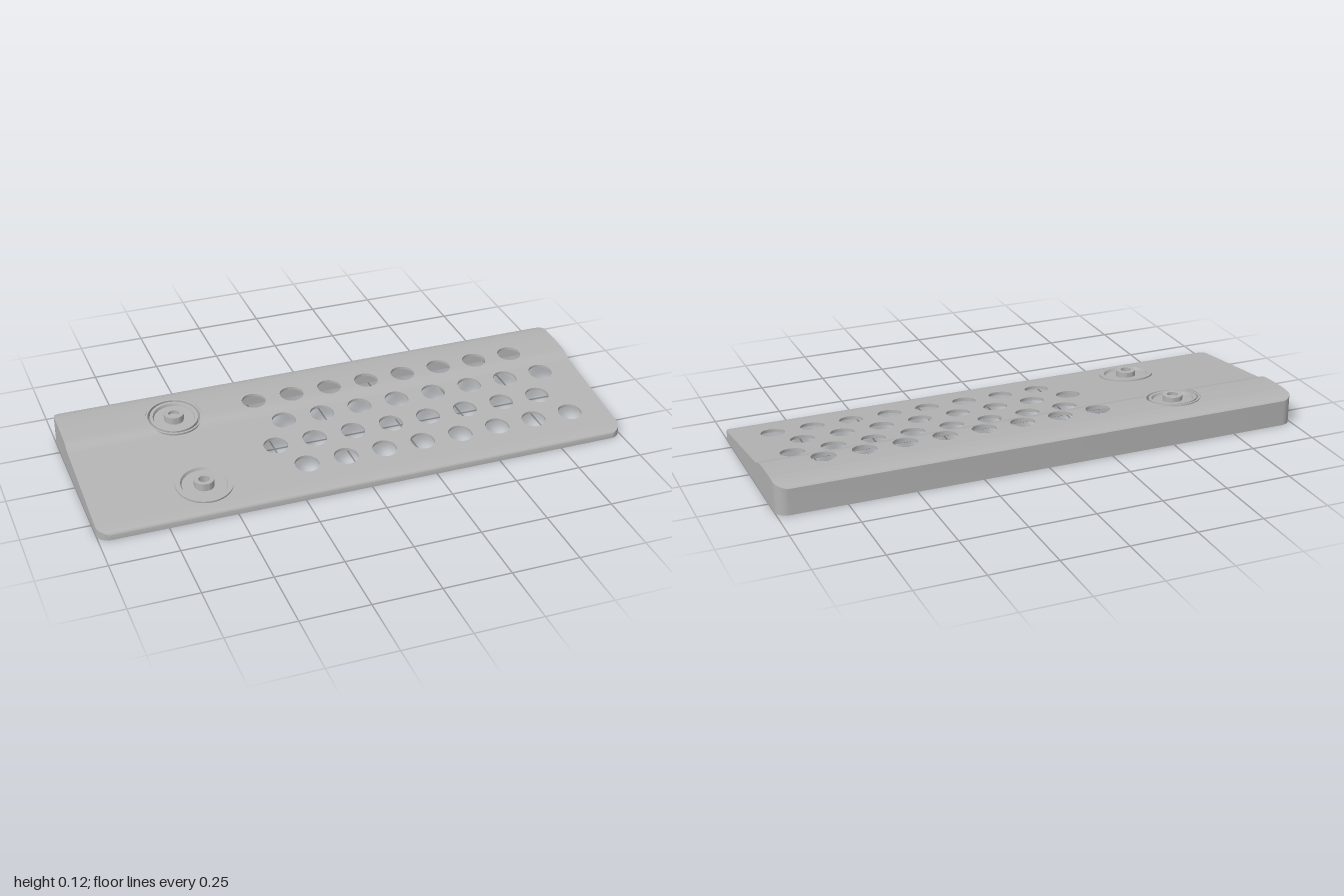
import * as THREE from 'three';
import { toCreasedNormals } from 'three/addons/utils/BufferGeometryUtils.js';

// side profile of the top surface: [z, y]
const PROFILE = [
  [-0.359, 0.098], [-0.355, 0.102], [-0.345, 0.107], [-0.33, 0.111], [-0.31, 0.1135], [-0.28, 0.115],
  [-0.24, 0.1145], [-0.2, 0.1125], [-0.16, 0.1095], [-0.14, 0.107], [-0.125, 0.102], [-0.115, 0.096],
  [-0.105, 0.092], [-0.095, 0.0895], [0.315, 0.037], [0.335, 0.0335], [0.348, 0.0295], [0.355, 0.025], [0.359, 0.019],
];
const SKIN = 0.02, WALL = 0.02, TILT = 0.127, DIAL_X = -0.58;
const ROWS = [-0.183, -0.053, 0.078, 0.208];

function top(z) {
  const c = Math.min(0.359, Math.max(-0.359, z));
  let i = 1;
  while (i < PROFILE.length - 1 && PROFILE[i][0] < c) i++;
  const [z0, y0] = PROFILE[i - 1], [z1, y1] = PROFILE[i];
  return y0 + (y1 - y0) * (c - z0) / (z1 - z0);
}
const underside = z => top(z) - SKIN;
const boreRoof = z => top(z) - 0.01;
const floor = () => 0;

// plan regions, each giving its x range at a given z
function circle(x, z, r) {
  const half = v => Math.sqrt(Math.max(0, r * r - (v - z) ** 2));
  return { z0: z - r, z1: z + r, x, span: v => [x - half(v), x + half(v)] };
}
function roundedRect(w, d, r) {
  const half = v => {
    const e = Math.min(r, Math.max(0, Math.abs(v) - (d - r)));
    return w - r + Math.sqrt(Math.max(0, r * r - e * e));
  };
  return { z0: -d, z1: d, x: 0, span: v => [-half(v), half(v)] };
}

// button holes, each with a wider counterbore beneath
const outer = roundedRect(1, 0.359, 0.045);
const inner = roundedRect(1 - WALL, 0.359 - WALL, 0.03);
const buttons = [];
ROWS.forEach((z, row) => {
  for (let i = 0; i < 8; i++) {
    const x = -0.27 + 0.15 * i + (row % 2 ? 0.075 : 0);
    buttons.push({ hole: circle(x, z, 0.045), bore: circle(x, z, 0.066) });
  }
});
const dialHoles = [circle(DIAL_X, ROWS[0], 0.104), circle(DIAL_X, ROWS[3], 0.1)];

// z cuts shared by every surface
const cuts = (() => {
  const all = PROFILE.map(p => p[0]);
  const arc = (c, r, n) => { for (let i = 0; i <= n; i++) all.push(c + r * Math.cos(Math.PI * i / n)); };
  ROWS.forEach(z => { arc(z, 0.045, 12); arc(z, 0.066, 12); });
  arc(ROWS[0], 0.104, 20);
  arc(ROWS[3], 0.1, 20);
  for (const s of [-1, 1]) {
    arc(s * 0.314, 0.045, 16);
    arc(s * 0.309, 0.03, 16);
  }
  all.sort((a, b) => a - b);
  return all.filter((z, i) => i === 0 || z - all[i - 1] > 1e-5);
})();

function strips(region, fn) {
  const zs = cuts.filter(z => z > region.z0 - 1e-4 && z < region.z1 + 1e-4);
  for (let i = 1; i < zs.length; i++) fn(zs[i - 1], zs[i]);
}

function createBuilder() {
  const pos = [];
  const va = new THREE.Vector3(), vb = new THREE.Vector3();
  function tri(a, b, c) {
    va.set(b[0] - a[0], b[1] - a[1], b[2] - a[2]);
    vb.set(c[0] - a[0], c[1] - a[1], c[2] - a[2]);
    if (va.cross(vb).length() > 1e-10) pos.push(...a, ...b, ...c);
  }
  function quad(a, b, c, d, flip) {
    if (flip) [b, d] = [d, b];
    tri(a, b, c);
    tri(a, c, d);
  }
  return {
    // surface over a region, leaving out the holes
    sheet(region, holes, y, faceUp) {
      strips(region, (a, b) => {
        const m = (a + b) / 2;
        const open = holes.filter(h => m > h.z0 && m < h.z1).sort((p, q) => p.x - q.x);
        const edges = z => {
          const [l, r] = region.span(z);
          return [l, ...open.flatMap(h => h.span(z)), r];
        };
        const ea = edges(a), eb = edges(b);
        for (let i = 0; i < ea.length; i += 2)
          quad([ea[i], y(a), a], [eb[i], y(b), b], [eb[i + 1], y(b), b], [ea[i + 1], y(a), a], !faceUp);
      });
    },
    // vertical wall around a region
    wall(region, yTop, yLow, outward) {
      const panel = (xa, za, xb, zb, flip) =>
        quad([xa, yLow(za), za], [xb, yLow(zb), zb], [xb, yTop(zb), zb], [xa, yTop(za), za], flip);
      strips(region, (a, b) => {
        const [la, ra] = region.span(a), [lb, rb] = region.span(b);
        panel(la, a, lb, b, !outward);
        panel(ra, a, rb, b, outward);
      });
      const [l0, r0] = region.span(region.z0), [l1, r1] = region.span(region.z1);
      panel(l0, region.z0, r0, region.z0, outward);
      panel(l1, region.z1, r1, region.z1, !outward);
    },
    geometry() {
      const g = new THREE.BufferGeometry();
      g.setAttribute('position', new THREE.Float32BufferAttribute(pos, 3));
      return toCreasedNormals(g, 0.6);
    },
  };
}

export function createModel() {
  const model = new THREE.Group();
  model.name = 'buttonPanel';
  const grey = new THREE.MeshStandardMaterial({ color: 0xb3b3b3 });
  grey.name = 'grey';

  function add(name, geometry, x = 0, y = 0, z = 0, tilt = 0) {
    const mesh = new THREE.Mesh(geometry, grey);
    mesh.name = name;
    mesh.position.set(x, y, z);
    mesh.rotation.x = tilt;
    model.add(mesh);
  }
  const turned = pts =>
    toCreasedNormals(new THREE.LatheGeometry(pts.map(p => new THREE.Vector2(p[0], p[1])), 48), 0.5);

  // hollow wedge casing, open below
  const shell = createBuilder();
  shell.sheet(outer, [...buttons.map(b => b.hole), ...dialHoles], top, true);
  shell.sheet(inner, [...buttons.map(b => b.bore), ...dialHoles], underside, false);
  shell.wall(outer, top, floor, true);
  shell.wall(inner, underside, floor, false);
  shell.sheet({ ...outer, z1: inner.z0 }, [], floor, false);
  shell.sheet({ ...outer, z0: inner.z1 }, [], floor, false);
  shell.sheet({ ...inner, span: z => [outer.span(z)[0], inner.span(z)[0]] }, [], floor, false);
  shell.sheet({ ...inner, span: z => [inner.span(z)[1], outer.span(z)[1]] }, [], floor, false);
  dialHoles.forEach(h => shell.wall(h, top, underside, false));
  add('casing', shell.geometry());

  // button hole linings
  const lining = createBuilder();
  buttons.forEach(({ hole, bore }) => {
    lining.wall(hole, top, boreRoof, false);
    lining.wall(bore, boreRoof, underside, false);
    lining.sheet(bore, [hole], boreRoof, false);
  });
  add('buttonHoles', lining.geometry());

  // front dial: tilted dish with a level hollow hub
  add('frontDialDish', turned([[0.02, -0.012], [0.104, -0.012], [0.104, 0.0065], [0.085, 0.0065],
    [0.08, -0.003], [0.02, -0.003], [0.02, -0.012]]), DIAL_X, 0.0507, ROWS[3], TILT);
  add('frontDialHub', turned([[0.02, 0.044], [0.037, 0.044], [0.037, 0.072], [0.02, 0.072], [0.02, 0.044]]),
    DIAL_X, 0, ROWS[3]);

  // rear dial: collar, floating dish and a level hub with a stem below
  add('rearDialCollar', turned([[0.097, -0.02], [0.104, -0.02], [0.104, 0.0065], [0.097, 0.0065], [0.097, -0.02]]),
    DIAL_X, 0.1007, ROWS[0], TILT);
  add('rearDialDish', turned([[0, -0.012], [0.089, -0.012], [0.089, 0.0065], [0.078, 0.0065], [0.074, -0.003], [0, -0.003]]),
    DIAL_X, 0.1007, ROWS[0], TILT);
  add('rearDialHub', turned([[0, 0.055], [0.033, 0.055], [0.033, 0.09], [0.037, 0.09], [0.037, 0.12],
    [0.02, 0.12], [0.02, 0.108], [0, 0.108]]), DIAL_X, 0, ROWS[0]);

  return model;
}
